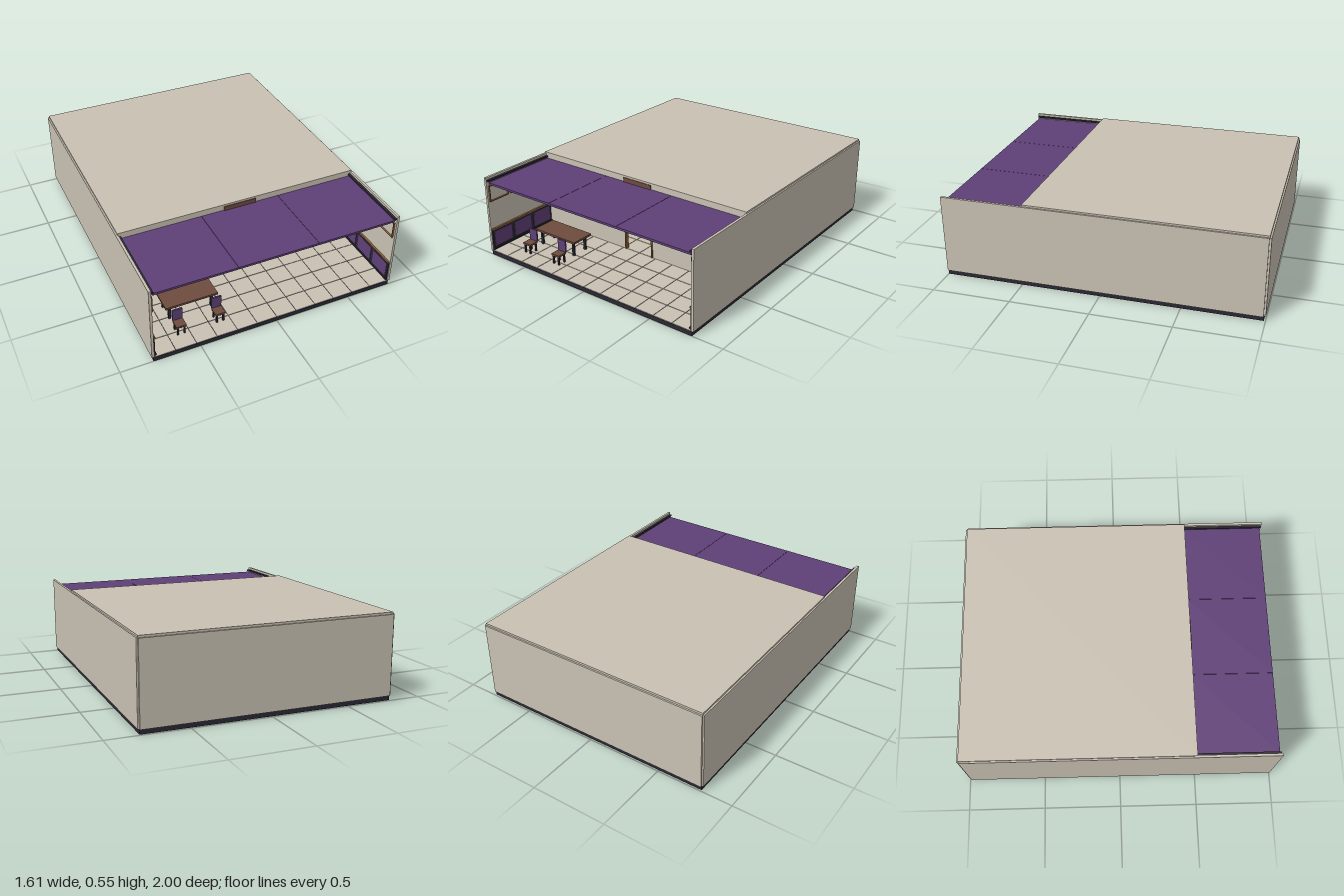
import * as THREE from 'three';

const mat = (name, color) => {
  const m = new THREE.MeshStandardMaterial({ color });
  m.name = name;
  return m;
};

export function createModel() {
  const cream = mat('cream', 0xc9c1b3);
  const purple = mat('purple', 0x5f4077);
  const dark = mat('charcoal', 0x2a2833);
  const brown = mat('brown wood', 0x6d4c3e);
  const gold = mat('golden wood', 0x8a6238);

  const model = new THREE.Group();
  model.name = 'building';

  // Box given by its low and high limits on each axis
  const box = (name, material, [x0, x1], [y0, y1], [z0, z1], parent = model) => {
    const mesh = new THREE.Mesh(new THREE.BoxGeometry(x1 - x0, y1 - y0, z1 - z0), material);
    mesh.position.set((x0 + x1) / 2, (y0 + y1) / 2, (z0 + z1) / 2);
    mesh.name = name;
    parent.add(mesh);
    return mesh;
  };
  const group = (name) => {
    const g = new THREE.Group();
    g.name = name;
    model.add(g);
    return g;
  };

  // Shell
  box('base', dark, [-0.795, 0.795], [0, 0.028], [-0.99, 1]);
  box('backWall', cream, [-0.795, 0.795], [0.03, 0.535], [-1, -0.988]);
  box('roof', cream, [-0.795, 0.795], [0.535, 0.548], [-0.99, 0.475]);
  for (const s of [-1, 1]) {
    box('sideWall', cream, [s * 0.797 - 0.008, s * 0.797 + 0.008], [0.03, 0.537], [-0.988, 1]);
  }

  // Floor tiles with dark joints
  const tiles = group('floorTiles');
  const nx = 12, nz = 15, tx = 1.578 / nx, tz = 1.988 / nz, gap = 0.002;
  for (let i = 0; i < nx; i++) {
    for (let j = 0; j < nz; j++) {
      const x = -0.789 + i * tx, z = -0.988 + j * tz;
      box('floorTile', cream, [x + gap, x + tx - gap], [0.028, 0.031], [z + gap, z + tz - gap], tiles);
    }
  }

  // Inner front wall with a doorway
  box('frontWallLeft', cream, [0.105, 0.789], [0.03, 0.535], [0.458, 0.47]);
  box('frontWallRight', cream, [-0.789, -0.11], [0.03, 0.535], [0.458, 0.47]);
  box('doorwayPanel', brown, [-0.11, 0.105], [0.378, 0.535], [0.455, 0.479]);
  for (const x of [-0.113, 0.1]) {
    box('doorwayPost', gold, [x, x + 0.009], [0.03, 0.378], [0.452, 0.478]);
  }
  box('doorwayLintel', gold, [-0.113, 0.109], [0.37, 0.379], [0.452, 0.478]);

  // Purple door with a round window
  box('door', purple, [0.53, 0.69], [0.03, 0.348], [0.47, 0.477]);
  const porthole = new THREE.Mesh(new THREE.CylinderGeometry(0.047, 0.047, 0.006, 32), cream);
  porthole.name = 'doorWindow';
  porthole.rotation.x = Math.PI / 2;
  porthole.position.set(0.61, 0.284, 0.478);
  model.add(porthole);

  // Awning in three panels
  for (let i = 0; i < 3; i++) {
    const x = -0.78 + i * 0.52;
    box('awningPanel', purple, [x + 0.001, x + 0.519], [0.491, 0.505], [0.472, 0.987]);
  }

  // Fittings on both side walls of the porch
  for (const s of [-1, 1]) {
    const side = group(s > 0 ? 'leftPorchFittings' : 'rightPorchFittings');
    const at = (a, b) => (s > 0 ? [a, b] : [-b, -a]);
    box('topRail', dark, at(0.774, 0.789), [0.511, 0.522], [0.472, 0.995], side);
    box('lowRail', dark, at(0.774, 0.789), [0.04, 0.05], [0.472, 0.995], side);
    box('wainscotCap', gold, at(0.776, 0.789), [0.172, 0.181], [0.472, 0.995], side);
    box('wainscot', dark, at(0.781, 0.789), [0.031, 0.172], [0.472, 0.995], side);
    for (let i = 0; i < 3; i++) {
      const z = 0.478 + i * 0.173;
      box('wainscotPanel', purple, at(0.778, 0.782), [0.058, 0.16], [z + 0.012, z + 0.158], side);
      // Window frame above the panel
      const fx = at(0.779, 0.789), z0 = z + 0.008, z1 = z + 0.163;
      for (const y of [0.37, 0.474]) box('windowFrame', gold, fx, [y, y + 0.006], [z0, z1], side);
      for (const zz of [z0, z1 - 0.006]) box('windowFrame', gold, fx, [0.37, 0.48], [zz, zz + 0.006], side);
    }
  }

  // Table
  const table = group('table');
  box('tableTop', brown, [-0.625, -0.285], [0.128, 0.142], [0.61, 0.77], table);
  box('tableApron', gold, [-0.605, -0.305], [0.12, 0.128], [0.625, 0.755], table);
  for (const x of [-0.6, -0.325]) {
    for (const z of [0.63, 0.735]) {
      box('tableLeg', dark, [x, x + 0.015], [0.03, 0.12], [z, z + 0.015], table);
    }
  }

  // Chairs facing the front
  for (const cx of [-0.578, -0.327]) {
    const chair = group('chair');
    box('seat', brown, [cx - 0.032, cx + 0.032], [0.088, 0.1], [0.835, 0.9], chair);
    box('backrest', purple, [cx - 0.032, cx + 0.032], [0.098, 0.178], [0.828, 0.838], chair);
    for (const x of [cx - 0.026, cx + 0.016]) {
      for (const z of [0.838, 0.886]) {
        box('chairLeg', dark, [x, x + 0.01], [0.03, 0.088], [z, z + 0.01], chair);
      }
    }
  }

  // Counter seen through the doorway
  const counter = group('counter');
  box('counterBody', purple, [-0.2, 0.05], [0.03, 0.177], [0, 0.1], counter);
  box('counterTop', gold, [-0.205, 0.055], [0.177, 0.187], [-0.005, 0.11], counter);
  for (const y of [0.06, 0.157]) box('counterTrim', cream, [-0.105, 0.012], [y, y + 0.002], [0.1, 0.102], counter);
  for (const x of [-0.105, 0.01]) box('counterTrim', cream, [x, x + 0.002], [0.06, 0.159], [0.1, 0.102], counter);

  // Tall shelf beside the counter
  const shelf = group('shelf');
  box('shelfBack', brown, [0.05, 0.2], [0.03, 0.352], [0.02, 0.03], shelf);
  for (const x of [0.05, 0.19]) box('shelfSide', dark, [x, x + 0.01], [0.03, 0.352], [0.02, 0.1], shelf);
  for (let i = 0; i < 5; i++) {
    const y = 0.035 + i * 0.077;
    box('shelfBoard', i < 3 ? gold : brown, [0.06, 0.19], [y, y + 0.009], [0.03, 0.1], shelf);
  }

  return model;
}
